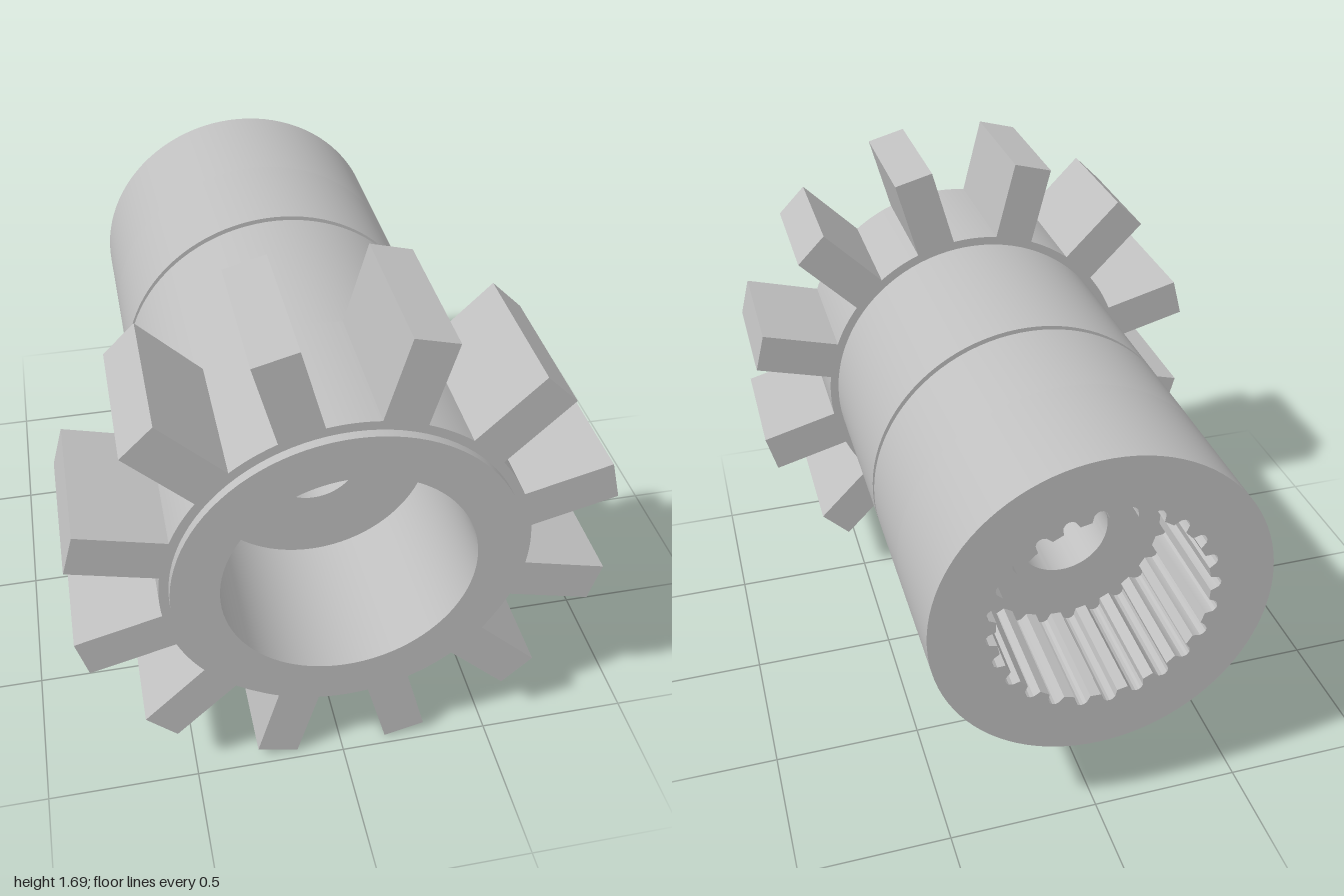
import * as THREE from 'three';
import { toCreasedNormals } from 'three/addons/utils/BufferGeometryUtils.js';

const AXIS_HEIGHT = 0.846;
const BODY_R = 0.55, HOLE_R = 0.155, BORE_R = 0.4;
const SOCKET_FLOOR = -0.59, BORE_FLOOR = 0.47;

const steel = new THREE.MeshStandardMaterial({ color: 0xbfbfbf });
steel.name = 'steel grey';

const polar = (r, a) => new THREE.Vector2(r * Math.cos(a), r * Math.sin(a));

function part(name, geometry) {
  const mesh = new THREE.Mesh(toCreasedNormals(geometry, 0.4), steel);
  mesh.name = name;
  return mesh;
}

// Extrudes a shape along z between two depths
function slab(name, shape, z0, z1) {
  const geometry = new THREE.ExtrudeGeometry(shape, {
    depth: z1 - z0, bevelEnabled: false, curveSegments: 48,
  });
  return part(name, geometry.translate(0, 0, z0));
}

function circlePath(r) {
  return new THREE.Path().absarc(0, 0, r, 0, Math.PI * 2, true);
}

// Straight-sided teeth joined by arcs of the hub
function gearShape() {
  const count = 12, half = 0.07, tipR = 0.857, rootR = 0.58;
  const step = (Math.PI * 2) / count;
  const rootAngle = Math.asin(half / rootR);
  const points = [];
  for (let i = 0; i < count; i++) {
    const a = (i + 0.5) * step;
    const corner = (t) => new THREE.Vector2(tipR, t).rotateAround(new THREE.Vector2(), a);
    points.push(polar(rootR, a - rootAngle), corner(-half), corner(half));
    for (let j = 0; j < 6; j++) {
      points.push(polar(rootR, a + rootAngle + (j / 6) * (step - 2 * rootAngle)));
    }
  }
  const shape = new THREE.Shape(points);
  shape.holes.push(circlePath(BODY_R - 0.005));
  return shape;
}

// Round disc with a splined hole of rounded grooves
function socketShape() {
  const count = 24, landR = 0.342, grooveDepth = 0.034;
  const step = (Math.PI * 2) / count;
  const points = [];
  for (let i = 0; i < count; i++) {
    points.push(polar(landR, i * step));
    for (let j = 0; j <= 6; j++) {
      const r = landR + grooveDepth * Math.sqrt(Math.sin((Math.PI * j) / 6) + 1e-9);
      points.push(polar(r, (i + 0.4 + 0.1 * j) * step));
    }
  }
  points.pop();
  const shape = new THREE.Shape().absarc(0, 0, BODY_R, 0, Math.PI * 2, false);
  shape.holes.push(new THREE.Path(points));
  return shape;
}

export function createModel() {
  const model = new THREE.Group();
  model.name = 'splinedPinion';

  // Sleeve with a snap-ring groove, a front bore and a through hole
  const profile = [
    [HOLE_R, SOCKET_FLOOR], [BODY_R, SOCKET_FLOOR],
    [BODY_R, -0.22], [BORE_R, -0.22], [BORE_R, -0.195], [BODY_R, -0.195],
    [BODY_R, 1], [BORE_R, 1], [BORE_R, BORE_FLOOR], [HOLE_R, BORE_FLOOR],
    [HOLE_R, SOCKET_FLOOR],
  ].map(([r, z]) => new THREE.Vector2(r, z));
  const sleeve = new THREE.LatheGeometry(profile, 96).rotateX(Math.PI / 2);

  model.add(
    part('sleeve', sleeve),
    slab('splinedSocket', socketShape(), -1, SOCKET_FLOOR),
    slab('gearTeeth', gearShape(), 0.48, 0.97),
  );
  model.children.forEach((mesh) => { mesh.position.y = AXIS_HEIGHT; });
  return model;
}
